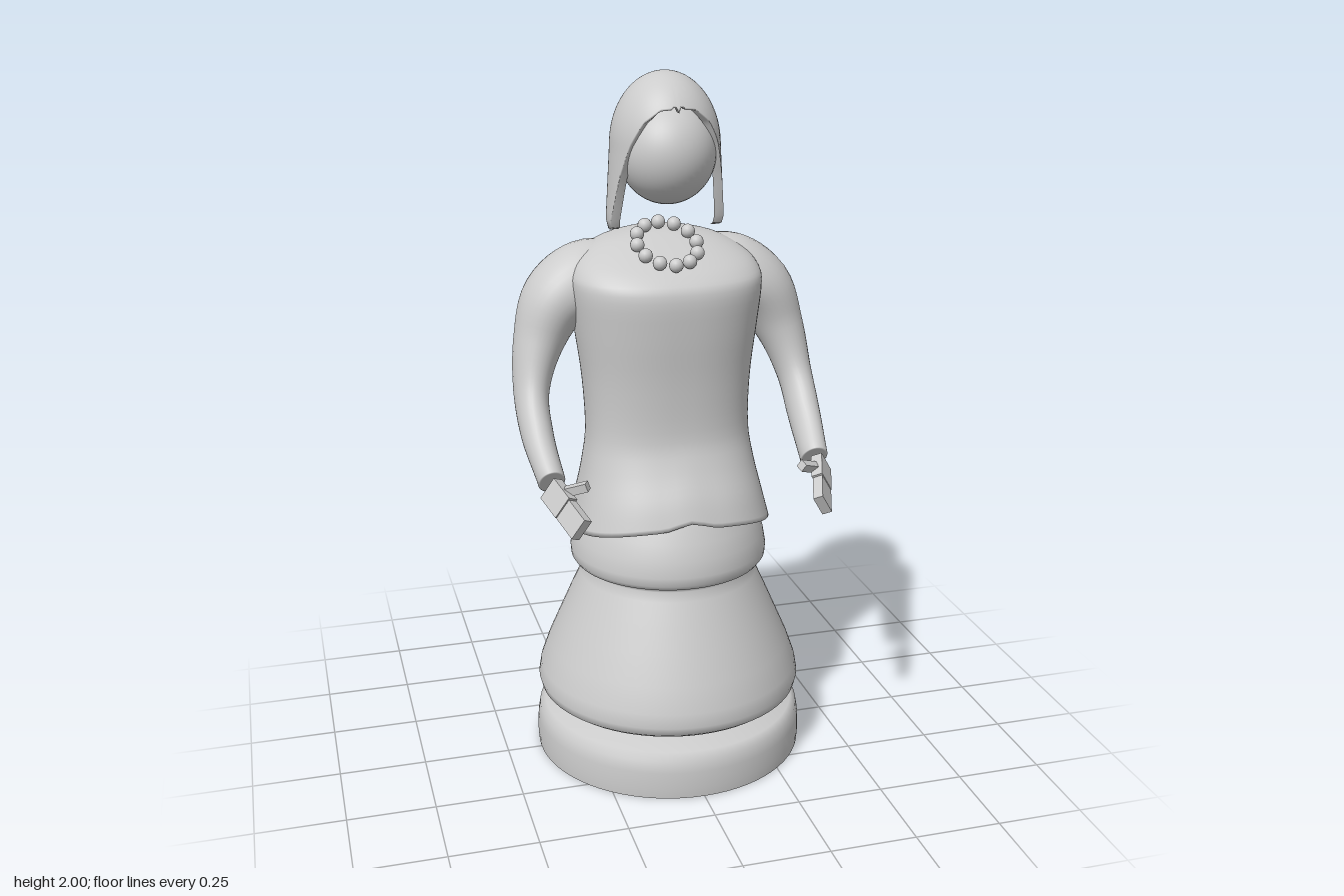
import * as THREE from 'three';

const V3 = (x, y, z) => new THREE.Vector3(x, y, z);
const grey = new THREE.MeshStandardMaterial({ color: 0xcccccc });

function add(parent, name, geometry, material = grey) {
  const mesh = new THREE.Mesh(geometry, material);
  mesh.name = name;
  parent.add(mesh);
  return mesh;
}

// Smooth skin over rings of points; point(i, j) gives ring i, step j
function loft(rows, cols, point) {
  const pos = [], index = [];
  for (let i = 0; i < rows; i++)
    for (let j = 0; j < cols; j++) pos.push(...point(i, j).toArray());
  for (let i = 0; i < rows - 1; i++)
    for (let j = 0; j < cols; j++) {
      const k = (j + 1) % cols;
      const a = i * cols + j, b = a + cols, c = (i + 1) * cols + k, d = i * cols + k;
      index.push(a, b, c, a, c, d);
    }
  const g = new THREE.BufferGeometry();
  g.setAttribute('position', new THREE.Float32BufferAttribute(pos, 3));
  g.setIndex(index);
  g.computeVertexNormals();
  return g;
}

// Spline through every column of a table, t from 0 to 1
function spline(table) {
  const curves = table[0].map((_, k) => new THREE.SplineCurve(table.map((r, i) => new THREE.Vector2(i, r[k]))));
  return t => curves.map(c => c.getPoint(t).y);
}

// Straight interpolation through [key, value] pairs
function ramp(keys, x) {
  for (let i = 1; i < keys.length; i++)
    if (x <= keys[i][0]) return THREE.MathUtils.mapLinear(x, keys[i - 1][0], keys[i][0], keys[i - 1][1], keys[i][1]);
  return keys.at(-1)[1];
}

const bend = (v, e) => Math.sign(v) * Math.abs(v) ** e;

function jacketGeometry() {
  // height, half width, front z, back z
  const section = spline([
    [1.56, 0.01, -0.1, -0.12], [1.557, 0.07, -0.05, -0.17], [1.535, 0.17, 0.01, -0.205],
    [1.495, 0.24, 0.09, -0.225], [1.455, 0.27, 0.15, -0.235], [1.41, 0.275, 0.178, -0.24],
    [1.3, 0.262, 0.175, -0.235], [1.15, 0.243, 0.163, -0.21], [1.0, 0.237, 0.163, -0.19],
    [0.9, 0.25, 0.19, -0.198], [0.8, 0.272, 0.232, -0.222], [0.72, 0.292, 0.256, -0.24],
  ]);
  const rows = 46, cols = 72;
  return loft(rows + 1, cols, (i, j) => {
    const a = (j / cols) * Math.PI * 2, s = Math.sin(a), c = Math.cos(a);
    let [y, w, zf, zb] = section(Math.min(i / (rows - 1), 1));
    // hem rises at the front and more at the back, with a small notch in the middle
    const rise = c * c * (c > 0 ? 0.045 : 0.08) + (c > 0 ? 0.018 * Math.max(0, 1 - Math.abs(s) / 0.2) : 0);
    y += rise * Math.max(0, (1.0 - y) / 0.28);
    const turn = i === rows ? 0.9 : 1;
    const mid = (zf + zb) / 2, half = (zf - zb) / 2;
    return V3(w * turn * bend(s, 0.85), y, mid + half * turn * bend(c, 0.85));
  });
}

function sleeveGeometry(side) {
  const path = new THREE.CatmullRomCurve3([
    [0.08, 1.42, -0.11], [0.21, 1.41, -0.112], [0.3, 1.365, -0.1], [0.36, 1.25, -0.075],
    [0.393, 1.12, -0.025], [0.395, 1.02, 0.06], [0.382, 0.925, 0.19],
  ].map(([x, y, z]) => V3(side * x, y, z)));
  // sideways radius, front to back radius
  const radius = spline([[0.1, 0.09], [0.118, 0.115], [0.1, 0.115], [0.072, 0.085], [0.05, 0.068], [0.045, 0.06], [0.038, 0.048]]);
  const rows = 36, cols = 32;
  return loft(rows + 2, cols, (i, j) => {
    const t = Math.min(i / (rows - 1), 1), a = (j / cols) * Math.PI * 2;
    const p = path.getPoint(t), T = path.getTangent(t);
    const U = T.clone().cross(V3(0, 0, 1)).normalize(), W = T.clone().cross(U);
    const [ru, rw] = radius(t), close = i < rows ? 1 : i === rows ? 0.85 : 0;
    return p.addScaledVector(W, rw * close * Math.cos(a)).addScaledVector(U, ru * close * Math.sin(a));
  });
}

function hairGeometry() {
  // lower edge of the hair: degrees from the front, height
  const edge = [[0, 1.9], [4, 1.918], [9, 1.908], [22, 1.905], [40, 1.87], [55, 1.8], [66, 1.72], [80, 1.58], [90, 1.57], [180, 1.57]];
  const rows = 36, cols = 120;
  return loft(rows + 1, cols, (i, j) => {
    const a = (j / cols) * Math.PI * 2, s = Math.sin(a), c = Math.cos(a);
    const deg = Math.min(a, Math.PI * 2 - a) * 180 / Math.PI;
    const t = Math.min(i / (rows - 1), 1);
    const y = 2 - (2 - ramp(edge, deg)) * t * t;
    const v = Math.max(0, (y - 1.8) / 0.2);
    const q = Math.sqrt(Math.max(0, 1 - v * v)) * (i === rows ? 0.84 : 1);
    const w = 0.153 + 0.012 * Math.min(1, Math.max(0, (1.8 - y) / 0.2));
    const tuck = y < 1.595 ? 1 - (1.595 - y) * 1.5 : 1;
    return V3(w * q * tuck * s, y, -0.033 + (c > 0 ? 0.17 : 0.158) * q * tuck * c);
  });
}

function addHand(parent, side) {
  const hand = new THREE.Group();
  hand.name = side > 0 ? 'leftHand' : 'rightHand';
  // reach of the fingers, then across the hand, then its thickness
  const reach = V3(-0.3 * side, -0.38, 0.87).normalize();
  const across = V3(-0.5 * side, 0.8, 0.2);
  across.addScaledVector(reach, -across.dot(reach)).normalize();
  const basis = new THREE.Matrix4().makeBasis(reach, across, reach.clone().cross(across));
  const block = (name, size, at) => {
    const m = add(hand, name, new THREE.BoxGeometry(...size));
    m.quaternion.setFromRotationMatrix(basis);
    m.position.set(at[0] * side, at[1], at[2]);
    return m;
  };
  block('palm', [0.085, 0.07, 0.032], [0.378, 0.902, 0.262]);
  block('fingers', [0.085, 0.065, 0.028], [0.353, 0.867, 0.338]);
  const thumb = block('thumb', [0.07, 0.024, 0.024], [0.333, 0.932, 0.28]);
  thumb.quaternion.setFromUnitVectors(V3(1, 0, 0), V3(-0.75 * side, 0.3, 0.45).normalize());
  parent.add(hand);
}

export function createModel() {
  const model = new THREE.Group();
  model.name = 'chessFigure';

  // Turned base and skirt
  const profile = [
    [0.398, 0], [0.4, 0.03], [0.398, 0.08], [0.392, 0.115], [0.375, 0.135], [0.31, 0.148], [0.295, 0.16],
    [0.295, 0.172], [0.31, 0.18], [0.37, 0.184], [0.386, 0.196], [0.392, 0.22], [0.385, 0.26], [0.36, 0.33],
    [0.325, 0.41], [0.29, 0.49], [0.262, 0.55], [0.25, 0.577], [0.255, 0.588], [0.277, 0.596], [0.287, 0.61],
    [0.289, 0.635], [0.281, 0.68], [0.264, 0.725], [0.238, 0.78], [0.2, 0.85],
  ].map(([r, y]) => new THREE.Vector2(r, y));
  add(model, 'skirtAndBase', new THREE.LatheGeometry(profile, 72));
  const foot = new THREE.CircleGeometry(0.398, 72);
  foot.rotateX(Math.PI / 2);
  add(model, 'baseUnderside', foot);

  // Jacket, sleeves and hands
  add(model, 'jacket', jacketGeometry());
  for (const side of [1, -1]) {
    add(model, side > 0 ? 'leftSleeve' : 'rightSleeve', sleeveGeometry(side));
    addHand(model, side);
  }

  // Head and hair
  const head = new THREE.SphereGeometry(1, 48, 32);
  head.scale(0.136, 0.143, 0.142);
  head.translate(0, 1.782, -0.01);
  add(model, 'head', head);
  add(model, 'hair', hairGeometry());

  // Bead necklace on a tilted ring
  const necklace = new THREE.Group();
  necklace.name = 'necklace';
  const beads = 12;
  for (let i = 0; i < beads; i++) {
    const a = (i / beads) * Math.PI * 2;
    const z = 0.035 + 0.095 * Math.cos(a);
    add(necklace, 'bead', new THREE.SphereGeometry(0.02, 16, 12)).position.set(-0.012 + 0.085 * Math.sin(a), 1.537 - (z - 0.035) * 0.45, z);
  }
  model.add(necklace);
  return model;
}
